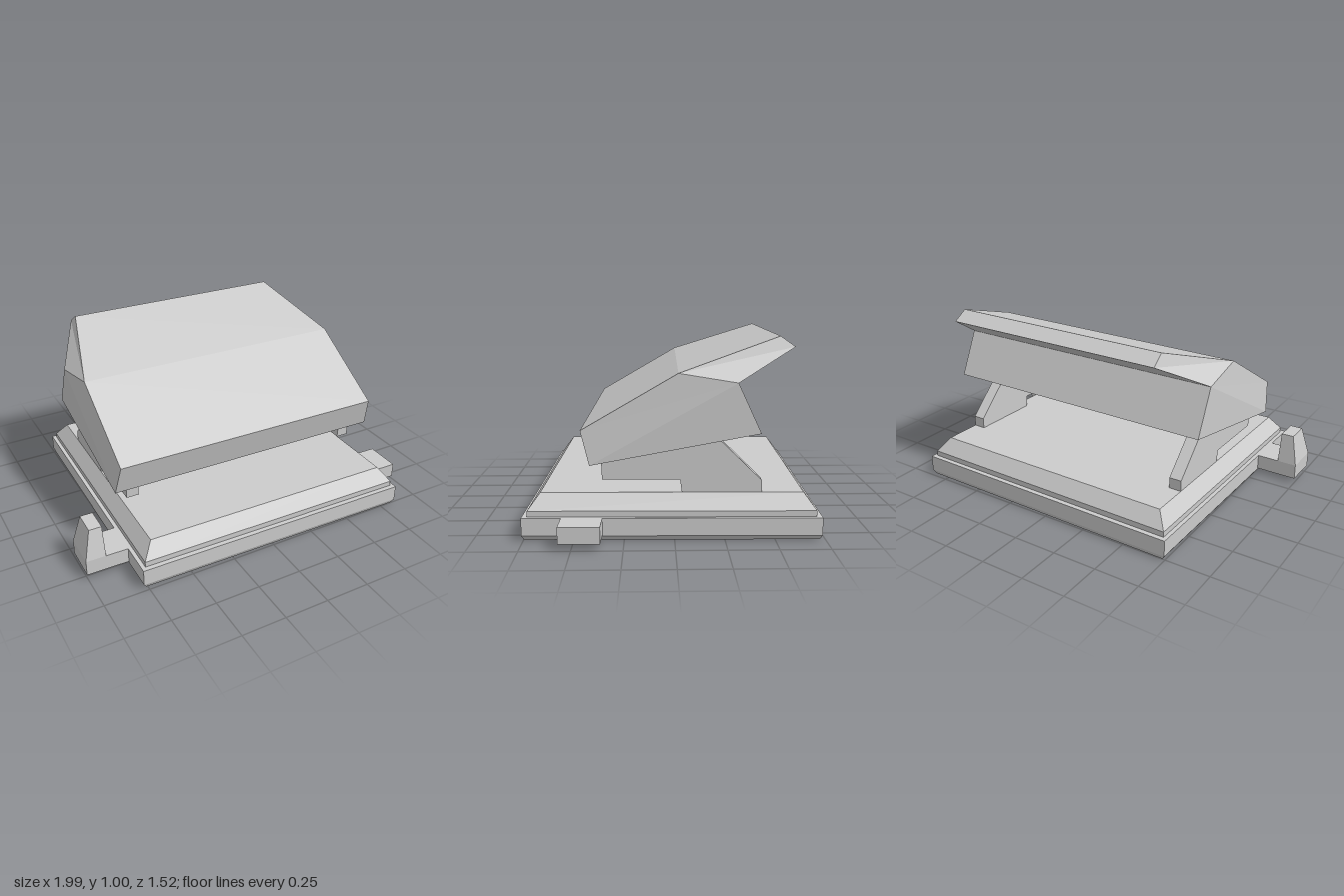
import * as THREE from 'three';

const material = new THREE.MeshStandardMaterial({ color: 0xcccccc, flatShading: true });

function addMesh(parent, name, geometry) {
  const mesh = new THREE.Mesh(geometry, material);
  mesh.name = name;
  parent.add(mesh);
}

// Flat-faced geometry from polygons (each split as a fan)
function fromPolygons(polygons) {
  const pos = [];
  for (const p of polygons)
    for (let i = 1; i < p.length - 1; i++) pos.push(...p[0], ...p[i], ...p[i + 1]);
  const geometry = new THREE.BufferGeometry();
  geometry.setAttribute('position', new THREE.Float32BufferAttribute(pos, 3));
  geometry.computeVertexNormals();
  return geometry;
}

// Solid lofted through stacked rectangles: [y, x0, x1, z0, z1]
function stack(layers) {
  const rings = layers.map(([y, x0, x1, z0, z1]) => [[x0, y, z1], [x1, y, z1], [x1, y, z0], [x0, y, z0]]);
  const faces = [[...rings[0]].reverse(), rings[rings.length - 1]];
  for (let k = 0; k < rings.length - 1; k++)
    for (let i = 0; i < 4; i++) {
      const j = (i + 1) % 4;
      faces.push([rings[k][i], rings[k][j], rings[k + 1][j], rings[k + 1][i]]);
    }
  return fromPolygons(faces);
}

// Wedge-shaped hood: profile points [z, y, half width]
function hoodGeometry() {
  const profile = [
    [0.45, 0.55, 0.785], [-0.03, 0.83, 0.785], [-0.54, 1.0, 0.645], [-0.615, 0.947, 0.65],
    [-0.32, 0.785, 0.805], [-0.435, 0.537, 0.805], [0.405, 0.38, 0.807],
  ];
  const right = profile.map(([z, y, w]) => [w, y, z]);
  const left = profile.map(([z, y, w]) => [-w, y, z]);
  const faces = [];
  profile.forEach((_, i) => {
    const j = (i + 1) % profile.length;
    faces.push([right[i], right[j], left[j], left[i]]);
  });
  // Cheeks, creased from the front lip to the rear notch
  for (const [a, b, c] of [[6, 4, 5], [6, 0, 4], [0, 1, 4], [1, 3, 4], [1, 2, 3]]) {
    faces.push([right[a], right[c], right[b]], [left[a], left[b], left[c]]);
  }
  return fromPolygons(faces);
}

export function createModel() {
  const model = new THREE.Group();
  const body = new THREE.Group();
  body.name = 'body';
  body.position.x = 0.045;
  body.rotation.y = -0.0155;
  model.add(body);

  // Two-tier base
  addMesh(body, 'baseLower', stack([
    [0, -0.79, 0.79, -0.735, 0.735],
    [0.025, -0.807, 0.807, -0.747, 0.747],
    [0.115, -0.807, 0.807, -0.747, 0.747],
  ]));
  addMesh(body, 'baseUpper', stack([
    [0.11, -0.785, 0.785, -0.72, 0.72],
    [0.145, -0.785, 0.785, -0.72, 0.72],
    [0.225, -0.725, 0.725, -0.66, 0.66],
  ]));

  // Tilted hood
  addMesh(body, 'hood', hoodGeometry());

  // Side brackets that carry the hood
  const outline = [[0.35, 0.29], [-0.04, 0.29], [-0.05, 0.22], [-0.45, 0.22], [-0.45, 0.285], [-0.21, 0.52], [0.355, 0.42]];
  const shape = new THREE.Shape(outline.map(([z, y]) => new THREE.Vector2(-z, y)));
  for (const [name, x] of [['leftBracket', 0.655], ['rightBracket', -0.725]]) {
    const geometry = new THREE.ExtrudeGeometry(shape, { depth: 0.07, bevelEnabled: false });
    addMesh(body, name, geometry.rotateY(Math.PI / 2).translate(x, 0, 0));
  }

  // Side tabs, one with an upright tapered lug
  addMesh(body, 'leftTab', stack([[0.03, 0.78, 0.95, 0.345, 0.55], [0.115, 0.78, 0.95, 0.345, 0.55]]));
  addMesh(body, 'rightTab', stack([[0.03, -1.04, -0.78, 0.345, 0.545], [0.115, -1.04, -0.78, 0.345, 0.545]]));
  addMesh(body, 'rightLug', stack([[0.115, -1.04, -0.93, 0.345, 0.545], [0.28, -1.0, -0.93, 0.375, 0.51]]));

  return model;
}
